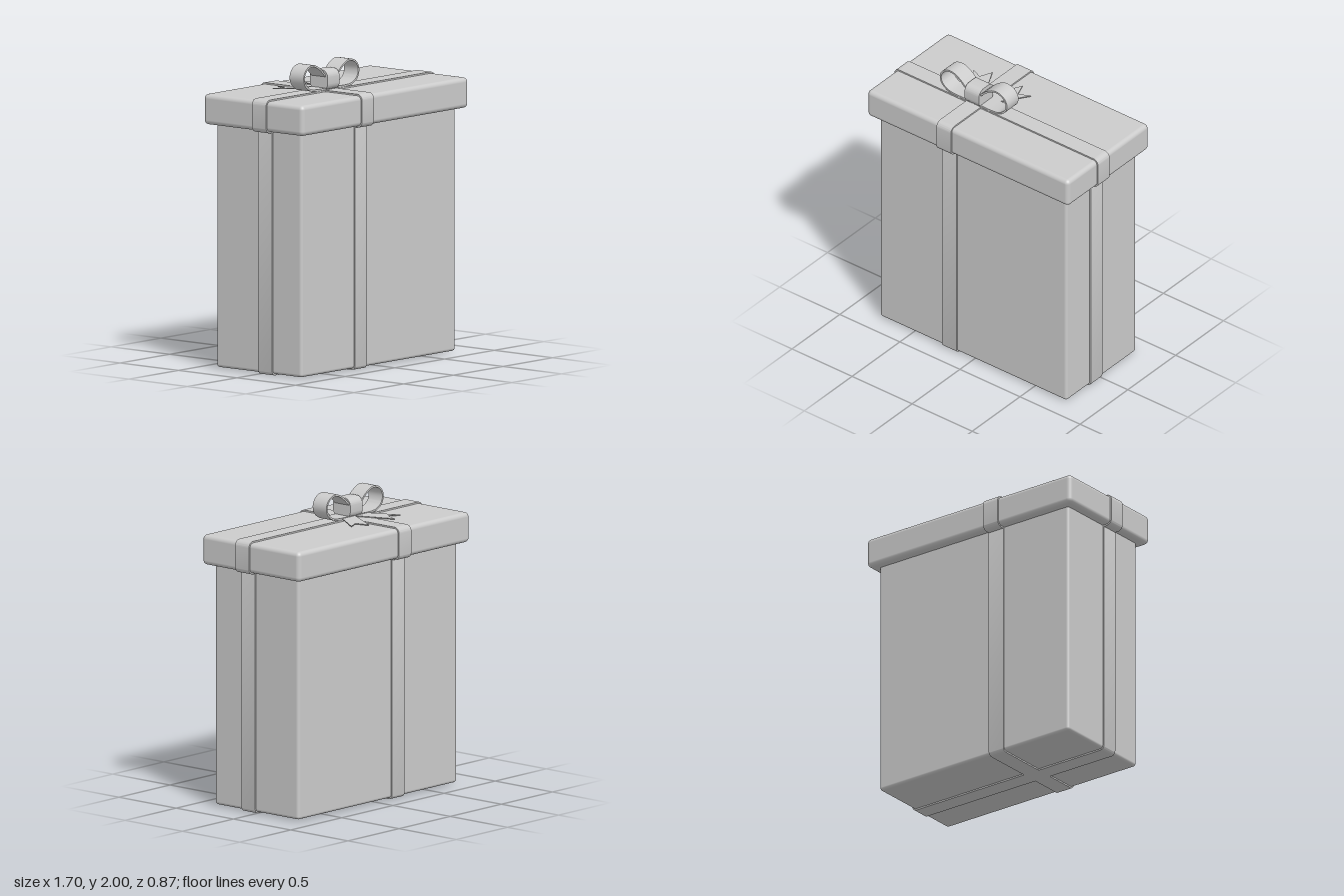
import * as THREE from 'three';
import { toCreasedNormals } from 'three/addons/utils/BufferGeometryUtils.js';
import { RoundedBoxGeometry } from 'three/addons/geometries/RoundedBoxGeometry.js';

const RIBBON = 0.12;   // ribbon width
const CROSS_X = -0.19; // where the ribbons cross
const CROSS_Z = 0.06;
const LID_TOP = 1.81;

export function createModel() {
  const model = new THREE.Group();
  const material = new THREE.MeshStandardMaterial({ color: 0xcccccc });

  const add = (name, geometry, parent = model) => {
    const mesh = new THREE.Mesh(geometry, material);
    mesh.name = name;
    parent.add(mesh);
    return mesh;
  };

  // Extrude a shape to the given depth, centred on z = 0, smooth on curves
  const extrude = (shape, depth) => {
    const g = new THREE.ExtrudeGeometry(shape, { depth, bevelEnabled: false, curveSegments: 8 });
    g.translate(0, 0, -depth / 2);
    return toCreasedNormals(g, 0.6);
  };

  const roundedRect = (w, y0, y1, r) => {
    const s = new THREE.Shape();
    const x = w / 2;
    s.moveTo(-x + r, y0).lineTo(x - r, y0).absarc(x - r, y0 + r, r, -Math.PI / 2, 0);
    s.lineTo(x, y1 - r).absarc(x - r, y1 - r, r, 0, Math.PI / 2);
    s.lineTo(-x + r, y1).absarc(-x + r, y1 - r, r, Math.PI / 2, Math.PI);
    s.lineTo(-x, y0 + r).absarc(-x + r, y0 + r, r, Math.PI, Math.PI * 1.5);
    return s;
  };

  // A rounded box with two crossing ribbon bands wrapped around it
  const wrappedBox = (name, w, d, y0, y1, r, t = 0.01) => {
    const group = new THREE.Group();
    group.name = name + 'Group';
    model.add(group);
    add(name, new RoundedBoxGeometry(w, y1 - y0, d, 4, r), group).position.set(0, (y0 + y1) / 2, -0.003);
    const along = extrude(roundedRect(w + 2 * t, y0 - t, y1 + t, r + t), RIBBON);
    add(name + 'RibbonLengthwise', along, group).position.z = CROSS_Z;
    const across = extrude(roundedRect(d + 2 * t, y0 - t, y1 + t, r + t), RIBBON);
    const mesh = add(name + 'RibbonCrosswise', across, group);
    mesh.rotation.y = Math.PI / 2;
    mesh.position.set(CROSS_X, 0, -0.003);
  };
  wrappedBox('box', 1.554, 0.73, 0.01, 1.63, 0.02);
  wrappedBox('lid', 1.676, 0.85, 1.61, LID_TOP, 0.03);

  // Bow, centred on the ribbon crossing
  const bow = new THREE.Group();
  bow.name = 'bow';
  bow.position.set(CROSS_X, LID_TOP, CROSS_Z);
  model.add(bow);

  // Bow loops: a teardrop strip with real thickness
  const loopShape = (side) => {
    const path = new THREE.SplineCurve([
      [0.01, 0.07], [0.06, 0.105], [0.11, 0.15], [0.17, 0.181], [0.225, 0.176], [0.262, 0.146],
      [0.274, 0.105], [0.258, 0.06], [0.21, 0.027], [0.15, 0.018], [0.08, 0.018], [0.01, 0.018],
    ].map(([x, y]) => new THREE.Vector2(x * side, y)));
    const outer = [], inner = [];
    for (let i = 0; i <= 48; i++) {
      const p = path.getPoint(i / 48), t = path.getTangent(i / 48);
      const n = new THREE.Vector2(-t.y, t.x).multiplyScalar(0.006);
      outer.push(p.clone().add(n));
      inner.unshift(p.clone().sub(n));
    }
    return new THREE.Shape([...outer, ...inner]);
  };

  // Swallow-cut tails lying on the lid behind the bow
  const tailShape = (side) => {
    const s = new THREE.Shape();
    s.moveTo(0, 0.06).lineTo(side * 0.125, 0.235 + 0.06);
    s.lineTo(side * 0.16, 0.145 + 0.06).lineTo(side * 0.24, 0.182 + 0.06);
    s.quadraticCurveTo(side * 0.18, 0.15, side * 0.125, 0.06);
    s.lineTo(side * 0.06, 0).lineTo(0, 0);
    return s;
  };

  for (const [side, label] of [[1, 'left'], [-1, 'right']]) {
    add(label + 'BowLoop', extrude(loopShape(side), RIBBON), bow);
    const tail = add(label + 'BowTail', extrude(tailShape(side), 0.006), bow);
    tail.rotation.x = -Math.PI / 2 - 0.03;
    tail.position.y = 0.018;
  }

  // Knot band around the middle of the bow
  const knot = add('bowKnot', extrude(roundedRect(0.15, 0.005, 0.142, 0.05), RIBBON), bow);
  knot.rotation.y = Math.PI / 2;
  knot.position.z = 0.003;

  return model;
}
